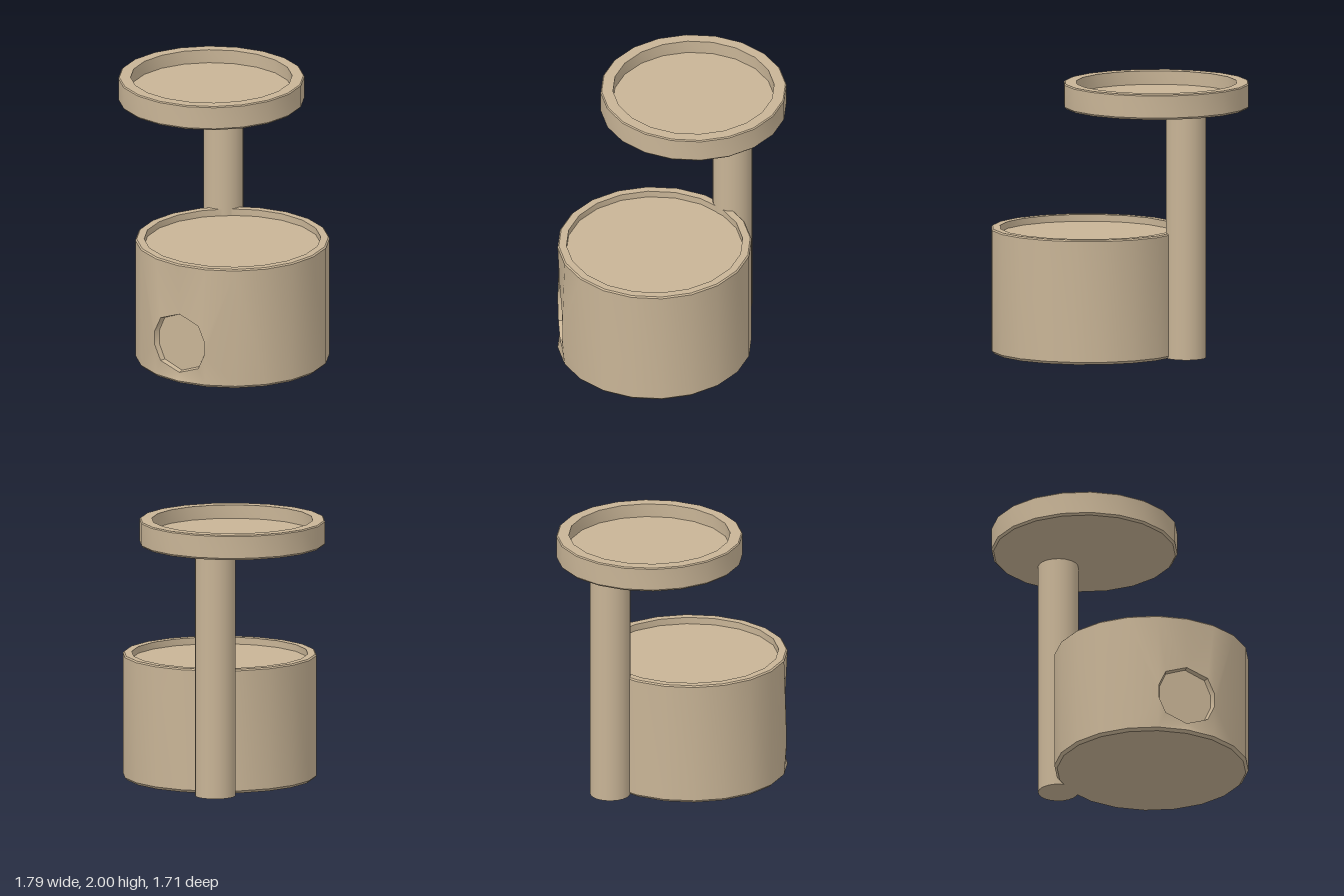
import * as THREE from 'three';
import { mergeGeometries, toCreasedNormals } from 'three/addons/utils/BufferGeometryUtils.js';

const SIDES = 20;
const STEP = (Math.PI * 2) / SIDES;

// Lathe over a range of sides, counted from the front (+z)
function lathe(profile, first = 0, count = SIDES) {
  const pts = profile.map(([r, y]) => new THREE.Vector2(r, y));
  const geo = new THREE.LatheGeometry(pts, count, first * STEP, count * STEP);
  geo.deleteAttribute('uv');
  geo.deleteAttribute('normal');
  const flat = geo.toNonIndexed();
  return flat;
}

// Triangles for the +x half, repeated mirrored for the -x half
function mirroredTriangles(triangles) {
  const pos = [];
  for (const [a, b, c] of triangles) {
    pos.push(...a, ...b, ...c);
    for (const [x, y, z] of [a, c, b]) pos.push(-x, y, z);
  }
  const geo = new THREE.BufferGeometry();
  geo.setAttribute('position', new THREE.Float32BufferAttribute(pos, 3));
  return geo;
}

export function createModel() {
  const group = new THREE.Group();
  const tan = new THREE.MeshStandardMaterial({ color: 0xc8b496 });
  tan.name = 'tan';

  function add(name, geo, x, y, z) {
    const mesh = new THREE.Mesh(geo, tan);
    mesh.name = name;
    mesh.position.set(x, y, z);
    group.add(mesh);
  }

  // Base drum, with the four front sides left open for the entrance panel
  const R = 0.71, low = 0.02, high = 0.91, top = 0.92;
  const bottom = lathe([[0, 0], [R - 0.02, 0], [R, low]]);
  const wall = lathe([[R, low], [R, high]], 2, SIDES - 4);
  const rim = lathe([[R, high], [R - 0.01, top], [0.645, top], [0.645, 0.87], [0, 0.87]]);

  // Entrance outline: half of a ten-sided ring, from top to bottom
  const holeY = 0.305, frontZ = 0.692, backZ = 0.656;
  const half = [[0, 0.225], [0.165, 0.165], [0.219, 0.05], [0.219, -0.05], [0.165, -0.165], [0, -0.225]];
  const P = half.map(([x, y]) => [x, y + holeY, frontZ]);
  const Q = half.map(([x, y]) => [x * 0.92, y * 0.97 + holeY, backZ]);
  const edge = (i, y) => [R * Math.sin(i * STEP), y, R * Math.cos(i * STEP)];
  const T = [0, 1, 2].map((i) => edge(i, high));
  const B = [0, 1, 2].map((i) => edge(i, low));

  // Wall panel that bends to meet the entrance
  const panel = mirroredTriangles([
    [T[0], P[0], T[1]], [P[0], P[1], T[1]], [P[1], P[2], T[1]],
    [P[3], P[4], B[1]], [P[4], P[5], B[1]], [P[5], B[0], B[1]],
    [T[1], P[2], T[2]], [P[2], P[3], T[2]], [P[3], B[2], T[2]], [P[3], B[1], B[2]],
  ]);
  const drum = mergeGeometries([bottom, wall, rim, panel]);
  add('baseDrum', toCreasedNormals(drum, 0.6), 0.183, 0, 0.14);

  // Shallow entrance recess
  const recess = [];
  const centre = [0, holeY, backZ];
  for (let i = 0; i < half.length - 1; i++) {
    recess.push([P[i], Q[i], P[i + 1]], [Q[i], Q[i + 1], P[i + 1]], [centre, Q[i + 1], Q[i]]);
  }
  add('entranceRecess', toCreasedNormals(mirroredTriangles(recess), 0.4), 0.183, 0, 0.14);

  // Post
  add('post', new THREE.CylinderGeometry(0.147, 0.147, 1.83, SIDES), -0.307, 0.915, -0.467);

  // Upper tray
  const tray = lathe([
    [0, 0], [0.665, 0], [0.68, 0.015], [0.68, 0.177], [0.672, 0.185],
    [0.59, 0.185], [0.59, 0.085], [0, 0.085],
  ]);
  add('upperTray', toCreasedNormals(tray, 0.6), -0.217, 1.815, -0.176);

  return group;
}
